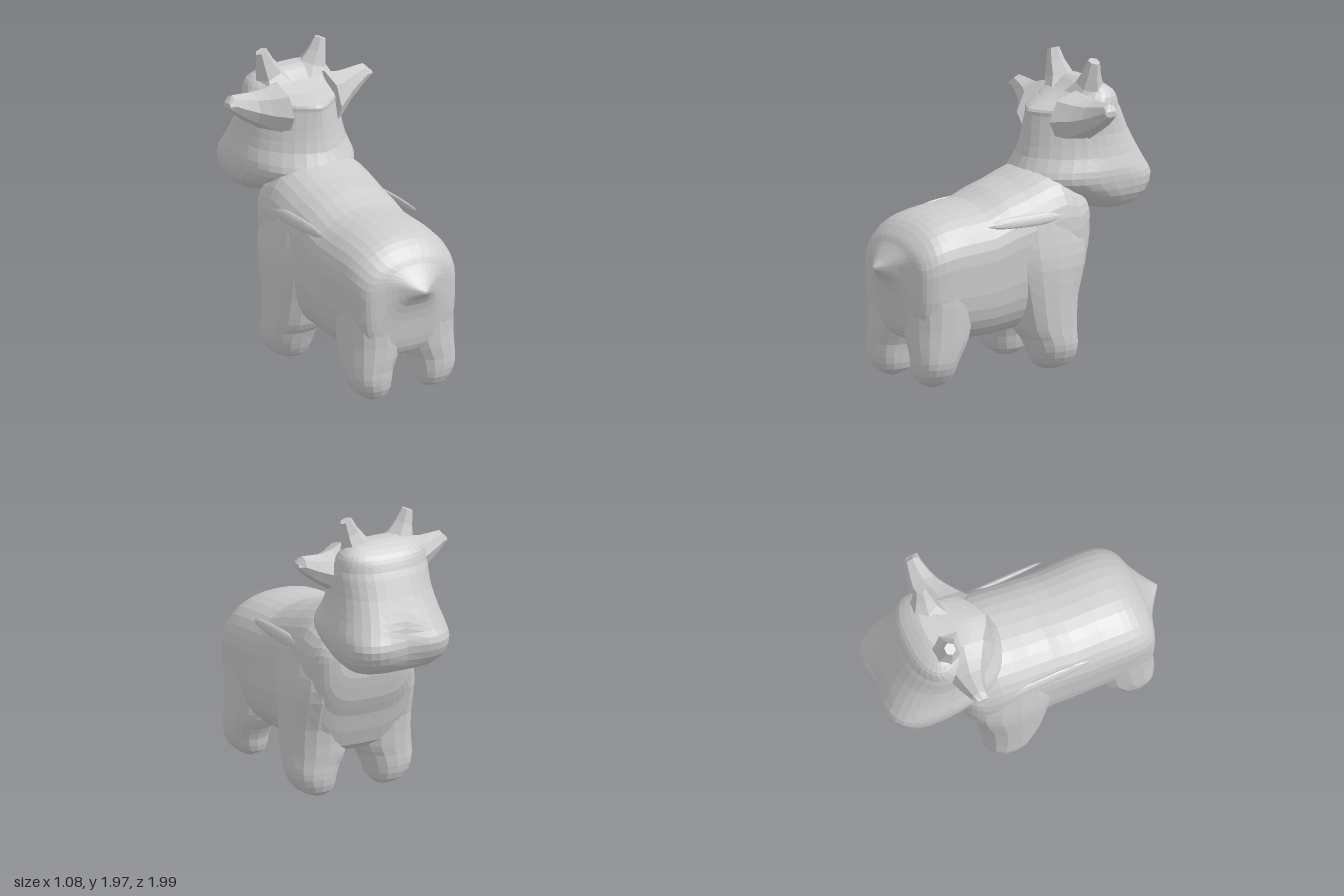
import * as THREE from 'three';

const material = new THREE.MeshStandardMaterial({ color: 0xcccccc, flatShading: true });

// Catmull-Rom subdivision of a table of section parameters
function refine(rows, steps) {
  const out = [];
  const at = i => rows[Math.max(0, Math.min(rows.length - 1, i))];
  for (let i = 0; i < rows.length - 1; i++) {
    for (let s = 0; s < steps; s++) {
      const t = s / steps;
      out.push(at(i).map((b, k) => {
        const a = at(i - 1)[k], c = at(i + 1)[k], d = at(i + 2)[k];
        return b + 0.5 * t * (c - a + t * (2 * a - 5 * b + 4 * c - d + t * (3 * (b - c) + d - a)));
      }));
    }
  }
  out.push(rows[rows.length - 1]);
  return out;
}

// Superellipse coordinates: signed power of cosine or sine
const power = (v, e) => Math.sign(v) * Math.pow(Math.abs(v), 2 / e);

// Skin a list of rows; section(row, cos, sin) gives the point on each ring
function loft(name, rows, sides, section) {
  const pos = [], index = [], n = rows.length;
  for (const row of rows) {
    for (let j = 0; j < sides; j++) {
      const a = (j / sides) * Math.PI * 2;
      pos.push(...section(row, Math.cos(a), Math.sin(a)));
    }
  }
  for (let i = 0; i < n - 1; i++) {
    for (let j = 0; j < sides; j++) {
      const a = i * sides + j, b = i * sides + (j + 1) % sides;
      index.push(a, b, b + sides, a, b + sides, a + sides);
    }
  }
  // closing fans at both ends
  for (const [ring, flip] of [[0, true], [n - 1, false]]) {
    const c = [0, 0, 0], centre = pos.length / 3;
    for (let j = 0; j < sides; j++) {
      for (let k = 0; k < 3; k++) c[k] += pos[(ring * sides + j) * 3 + k] / sides;
    }
    pos.push(...c);
    for (let j = 0; j < sides; j++) {
      const a = ring * sides + j, b = ring * sides + (j + 1) % sides;
      index.push(...(flip ? [b, a, centre] : [a, b, centre]));
    }
  }
  // turn the faces outward if the enclosed volume is negative
  const p = i => new THREE.Vector3().fromArray(pos, i * 3);
  let volume = 0;
  for (let i = 0; i < index.length; i += 3) {
    volume += p(index[i]).dot(p(index[i + 1]).cross(p(index[i + 2])));
  }
  if (volume < 0) index.reverse();
  const geometry = new THREE.BufferGeometry();
  geometry.setAttribute('position', new THREE.Float32BufferAttribute(pos, 3));
  geometry.setIndex(index);
  geometry.computeVertexNormals();
  const mesh = new THREE.Mesh(geometry, material);
  mesh.name = name;
  return mesh;
}

export function createModel() {
  const group = new THREE.Group();
  group.name = 'hornedCalf';

  // Trunk with pointed tail and chest: z, bottom, top, half width
  const trunk = [
    [0.998, 0.77, 0.79, 0.01], [0.95, 0.735, 0.83, 0.075], [0.90, 0.67, 0.89, 0.15],
    [0.87, 0.56, 0.93, 0.22], [0.85, 0.42, 0.965, 0.29], [0.82, 0.33, 1.0, 0.34],
    [0.75, 0.3, 1.06, 0.375], [0.65, 0.29, 1.1, 0.39], [0.5, 0.275, 1.125, 0.39],
    [0.3, 0.27, 1.14, 0.385], [0.15, 0.28, 1.2, 0.385], [0, 0.29, 1.245, 0.39],
    [-0.12, 0.29, 1.29, 0.395], [-0.25, 0.3, 1.32, 0.39], [-0.35, 0.36, 1.27, 0.375],
    [-0.42, 0.58, 1.22, 0.345], [-0.47, 0.7, 1.16, 0.3], [-0.5, 0.86, 1.1, 0.23],
  ];
  group.add(loft('trunk', refine(trunk, 2), 32, ([z, lo, hi, w], c, s) => {
    const mid = lo + 0.62 * (hi - lo), e = s > 0 ? 2.2 : 3.4;
    return [w * power(c, e), mid + (s > 0 ? hi - mid : mid - lo) * power(s, e), z];
  }));

  // Head and neck: y, back z, front z, half width, back and front squareness, muzzle cleft
  const head = [
    [0.99, -0.6, -0.8, 0.2, 2, 2.5, 0], [1.02, -0.5, -0.89, 0.29, 2, 2.8, 0.01],
    [1.1, -0.3, -0.97, 0.36, 2, 3.2, 0.03], [1.2, -0.11, -1.005, 0.382, 2.1, 3.4, 0.04],
    [1.28, -0.115, -0.975, 0.378, 2, 3, 0.03], [1.36, -0.155, -0.935, 0.355, 1.8, 2.8, 0.01],
    [1.5, -0.185, -0.865, 0.33, 1.6, 2.6, 0], [1.62, -0.2, -0.815, 0.33, 1.4, 2.5, 0],
    [1.66, -0.21, -0.795, 0.325, 1.4, 2.5, 0], [1.71, -0.33, -0.775, 0.31, 1.5, 2.5, 0],
    [1.76, -0.44, -0.74, 0.285, 2, 2.5, 0], [1.81, -0.51, -0.67, 0.22, 2, 2.3, 0],
    [1.83, -0.55, -0.63, 0.14, 2, 2, 0],
  ];
  group.add(loft('head', refine(head, 2), 32, ([y, back, front, w, eb, ef, cleft], c, s) => {
    const mid = back + 0.55 * (front - back), e = s > 0 ? eb : ef, x = w * power(c, e);
    const dent = s < 0 ? cleft * Math.exp(-((x / 0.13) ** 2)) : 0;
    return [x, y, mid + (s > 0 ? back - mid : mid - front) * power(s, e) + dent];
  }));

  // Legs, flared where they meet the belly: y, centre x, centre z, half width, half depth
  const hindLeg = [
    [0.01, 0.22, 0.69, 0.02, 0.03], [0.06, 0.225, 0.695, 0.1, 0.12],
    [0.15, 0.238, 0.698, 0.138, 0.148], [0.23, 0.235, 0.68, 0.152, 0.17],
    [0.31, 0.215, 0.655, 0.175, 0.2], [0.4, 0.2, 0.64, 0.19, 0.215],
    [0.55, 0.2, 0.63, 0.19, 0.225], [0.8, 0.2, 0.62, 0.18, 0.22],
  ];
  const foreLeg = [
    [0.025, 0.24, -0.2, 0.05, 0.06], [0.07, 0.26, -0.2, 0.12, 0.13],
    [0.16, 0.272, -0.19, 0.158, 0.165], [0.24, 0.26, -0.175, 0.18, 0.182],
    [0.31, 0.24, -0.155, 0.2, 0.208], [0.5, 0.235, -0.14, 0.205, 0.24],
    [0.7, 0.235, -0.145, 0.203, 0.295], [0.85, 0.23, -0.14, 0.188, 0.31],
    [1.0, 0.22, -0.12, 0.168, 0.25],
  ];
  // Ears: x, y, z, half height, half depth
  const ear = [
    [0.18, 1.6, -0.44, 0.18, 0.2], [0.28, 1.61, -0.46, 0.14, 0.14],
    [0.35, 1.63, -0.475, 0.11, 0.105], [0.42, 1.655, -0.48, 0.09, 0.08],
    [0.5, 1.69, -0.48, 0.06, 0.055], [0.54, 1.69, -0.47, 0.02, 0.045],
  ];
  // Horns with slanted tips: x, y, z, radius
  const horn = [
    [0.14, 1.72, -0.56, 0.15], [0.17, 1.8, -0.56, 0.09],
    [0.2, 1.88, -0.555, 0.06], [0.225, 1.965, -0.555, 0.038],
  ];

  for (const [label, side] of [['left', 1], ['right', -1]]) {
    const leg = ([y, x, z, w, d], c, s) =>
      [side * (x + w * power(c, 2.3)), y, z + d * power(s, 2.3)];
    group.add(loft(label + 'HindLeg', refine(hindLeg, 2), 16, leg));
    group.add(loft(label + 'ForeLeg', refine(foreLeg, 2), 16, leg));
    group.add(loft(label + 'Ear', ear, 8, ([x, y, z, h, d], c, s) =>
      [side * x, y + h * c, z + d * s]));
    group.add(loft(label + 'Horn', horn, 6, ([x, y, z, r], c, s) =>
      [side * (x + r * c), y - 0.4 * r * c, z + r * s]));

    // Thin fold of skin along the shoulder
    const fold = new THREE.Mesh(new THREE.SphereGeometry(1, 12, 8), material);
    fold.name = label + 'ShoulderFold';
    fold.scale.set(0.018, 0.04, 0.34);
    fold.position.set(side * 0.368, 1.035, 0.03);
    fold.rotation.z = side * 0.35;
    group.add(fold);
  }
  return group;
}
